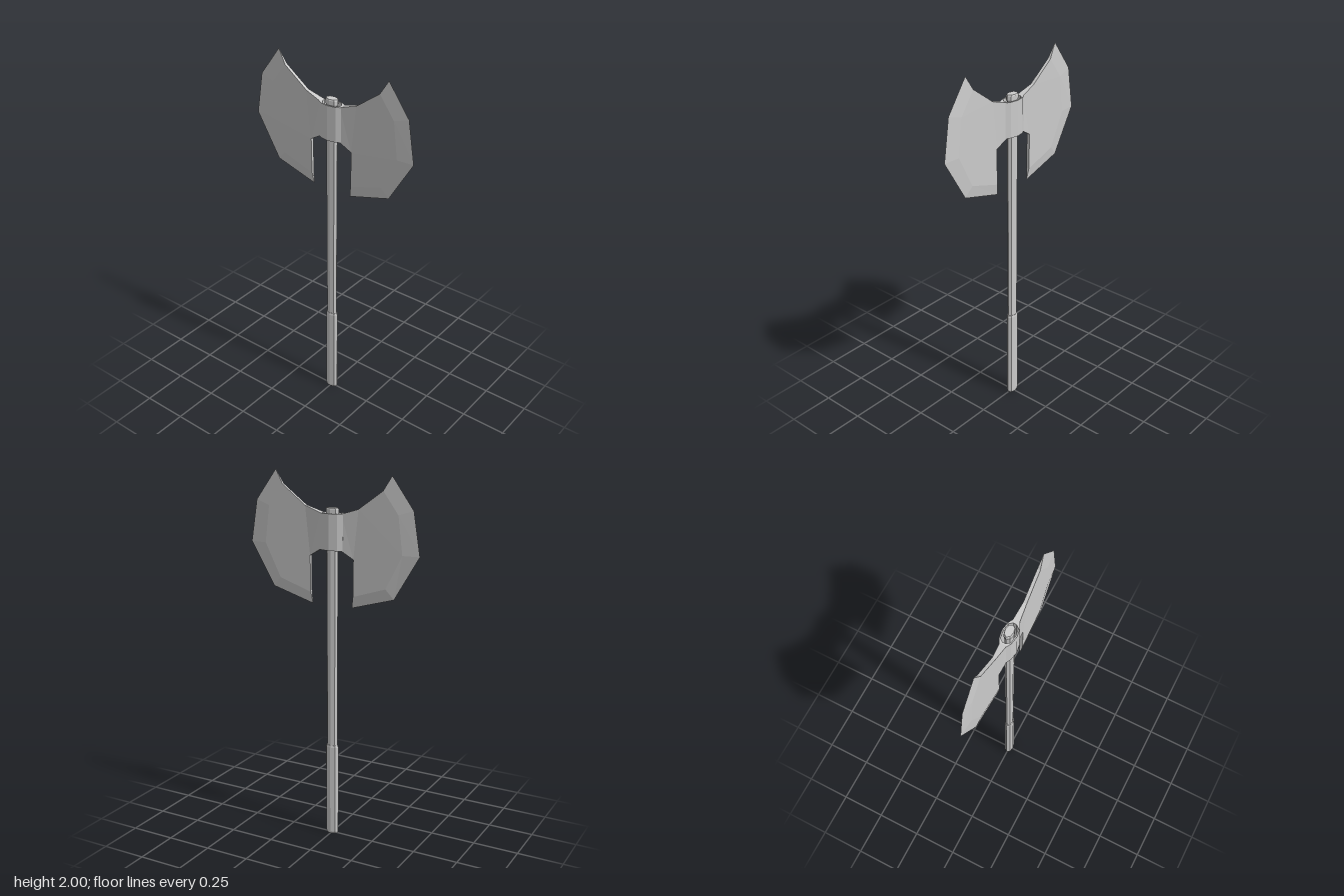
import * as THREE from 'three';

const material = new THREE.MeshStandardMaterial({ color: 0xcccccc, flatShading: true });

function addMesh(parent, name, geometry) {
  const mesh = new THREE.Mesh(geometry, material);
  mesh.name = name;
  parent.add(mesh);
  return mesh;
}

// Eight-sided oval bar from [radius, y] pairs, deeper in z than in x
function ovalBar(profile) {
  const points = profile.map(([r, y]) => new THREE.Vector2(r, y));
  return new THREE.LatheGeometry(points, 8).scale(0.62, 1, 1);
}

// Hollow collar: a pointed oval ring extruded upwards
function socketGeometry(y0, y1) {
  const ring = (quarter) => {
    const back = quarter.map(([x, z]) => [-x, z]).reverse();
    const half = [...quarter, ...back];
    const other = half.slice(1, -1).map(([x, z]) => [-x, -z]);
    return [...half, ...other].map(([x, z]) => new THREE.Vector2(x, z));
  };
  const shape = new THREE.Shape(ring([[0.039, 0], [0.031, 0.045], [0.017, 0.07]]));
  shape.holes.push(new THREE.Path(ring([[0.032, 0], [0.026, 0.04], [0.008, 0.054]])));
  return new THREE.ExtrudeGeometry(shape, { depth: y1 - y0, bevelEnabled: false })
    .rotateX(-Math.PI / 2).translate(0, y0, 0);
}

// Blade: flat cheek thickening at the root, with a bevel down to a sharp edge
function bladeGeometry() {
  // body outline as [z, y, half thickness]
  const body = [
    [0.062, 1.795, 0.018], [0.155, 1.825, 0.009], [0.29, 1.925, 0.008],
    [0.375, 1.81, 0.008], [0.4, 1.61, 0.008], [0.31, 1.43, 0.008],
    [0.125, 1.37, 0.008], [0.127, 1.565, 0.009], [0.062, 1.605, 0.018],
  ];
  // cutting edge, matching body points 2 to 6
  const edge = [[0.335, 2.0], [0.455, 1.835], [0.492, 1.61], [0.355, 1.378], [0.115, 1.308]];
  const positions = [];
  const tri = (...corners) => corners.forEach((c) => positions.push(...c));
  const P = (i, s) => [s * body[i][2], body[i][1], body[i][0]];
  const E = (i) => [0, edge[i][1], edge[i][0]];

  for (const s of [1, -1]) {
    const face = (a, b, c) => (s > 0 ? tri(a, b, c) : tri(a, c, b));
    // root and cheek
    const cheek = [[0, 1, 7], [0, 7, 8], [1, 2, 3], [1, 3, 4], [1, 4, 7], [4, 5, 7], [5, 6, 7]];
    for (const [a, b, c] of cheek) face(P(a, s), P(b, s), P(c, s));
    // bevel
    for (let i = 0; i < 4; i++) {
      face(P(i + 2, s), E(i), E(i + 1));
      face(P(i + 2, s), E(i + 1), P(i + 3, s));
    }
  }
  // top and bottom rims, closed by a triangle at each horn
  for (const i of [0, 1, 6, 7]) {
    tri(P(i, 1), P(i, -1), P(i + 1, -1));
    tri(P(i, 1), P(i + 1, -1), P(i + 1, 1));
  }
  tri(P(2, 1), P(2, -1), E(0));
  tri(P(6, -1), P(6, 1), E(4));

  const geometry = new THREE.BufferGeometry();
  geometry.setAttribute('position', new THREE.Float32BufferAttribute(positions, 3));
  geometry.computeVertexNormals();
  return geometry;
}

export function createModel() {
  const axe = new THREE.Group();
  axe.name = 'doubleAxe';

  // Handle
  addMesh(axe, 'grip', ovalBar([[0, 0], [0.034, 0], [0.038, 0.012], [0.038, 0.515], [0.034, 0.527], [0, 0.527]]));
  addMesh(axe, 'shaft', ovalBar([[0.031, 0.52], [0.034, 1.79]]));
  addMesh(axe, 'shaftCap', ovalBar([[0, 1.785], [0.034, 1.785], [0.038, 1.795], [0.038, 1.815], [0.034, 1.822], [0, 1.822]]));

  // Head
  addMesh(axe, 'socket', socketGeometry(1.605, 1.795));
  const blade = bladeGeometry();
  addMesh(axe, 'frontBlade', blade);
  addMesh(axe, 'backBlade', blade).rotation.y = Math.PI;

  return axe;
}
